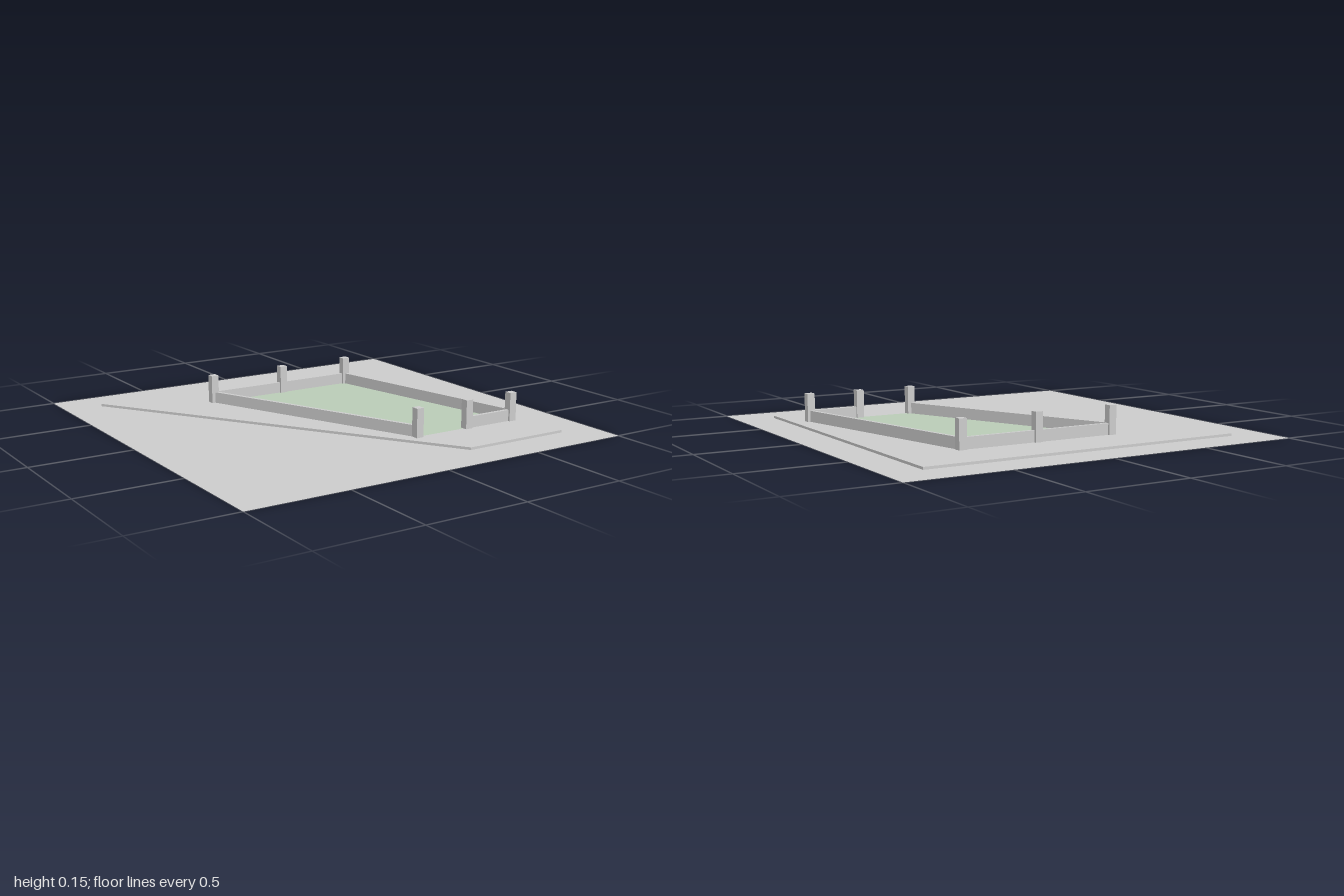
import * as THREE from 'three';

const GREY = 0xcccccc;
const LEVEL = 0.012; // height of the raised plot above the ground
const POST_TOP = 0.152;
const WALL_TOP = 0.067;

const material = (color) => new THREE.MeshStandardMaterial({ color, side: THREE.DoubleSide, flatShading: true });

// Corners are [x, z]; shapes are drawn in x, -z and laid flat.
const toPoints = (corners) => corners.map(([x, z]) => new THREE.Vector2(x, -z));

function flatArea(name, outline, hole, y, color = GREY) {
  const shape = new THREE.Shape(toPoints(outline));
  if (hole) shape.holes.push(new THREE.Path(toPoints(hole)));
  const geometry = new THREE.ShapeGeometry(shape).rotateX(-Math.PI / 2);
  const mesh = new THREE.Mesh(geometry, material(color));
  mesh.name = name;
  mesh.position.y = y;
  return mesh;
}

// Upright piece running between two ground points
function span(name, [x1, z1], [x2, z2], bottom, top, thickness) {
  const length = Math.hypot(x2 - x1, z2 - z1);
  const geometry = thickness
    ? new THREE.BoxGeometry(length, top - bottom, thickness)
    : new THREE.PlaneGeometry(length, top - bottom);
  const mesh = new THREE.Mesh(geometry, material(GREY));
  mesh.name = name;
  mesh.position.set((x1 + x2) / 2, (bottom + top) / 2, (z1 + z2) / 2);
  mesh.rotation.y = Math.atan2(z1 - z2, x2 - x1);
  return mesh;
}

export function createModel() {
  const model = new THREE.Group();
  model.name = 'fencedPlot';

  const ground = [[-1, -1], [1, -1], [1, 1], [-1, 1]];
  const plot = [[-0.815, -0.815], [0.815, -0.815], [0.815, 0.815], [0.27, 0.815]];
  const backLeft = [0.487, -0.545];
  const backRight = [-0.312, -0.545];
  const backMiddle = [0.094, -0.545];
  const frontLeft = [0.73, 0.545];
  const frontRight = [0.174, 0.545];
  const gatePost = [0.463, 0.545];
  const yard = [backRight, backLeft, frontLeft, frontRight];

  // Ground, raised plot and grassy yard
  model.add(flatArea('ground', ground, plot, 0));
  model.add(flatArea('plotTop', plot, yard, LEVEL));
  model.add(flatArea('lawn', yard, null, LEVEL, 0xb9ccb6));
  plot.forEach((corner, i) => {
    model.add(span('plotEdge', plot[(i + 1) % plot.length], corner, 0, LEVEL, 0));
  });

  // Low walls, open at the front between the gate posts
  const walls = [
    [backRight, backMiddle], [backMiddle, backLeft], [backLeft, frontLeft],
    [frontLeft, gatePost], [backRight, frontRight],
  ];
  for (const [a, b] of walls) model.add(span('wall', a, b, LEVEL, WALL_TOP, 0.018));

  // Square posts
  for (const [x, z] of [backRight, backMiddle, backLeft, frontLeft, gatePost, frontRight]) {
    const post = new THREE.Mesh(new THREE.BoxGeometry(0.038, POST_TOP - LEVEL, 0.038), material(GREY));
    post.name = 'post';
    post.position.set(x, (POST_TOP + LEVEL) / 2, z);
    model.add(post);
  }
  return model;
}
